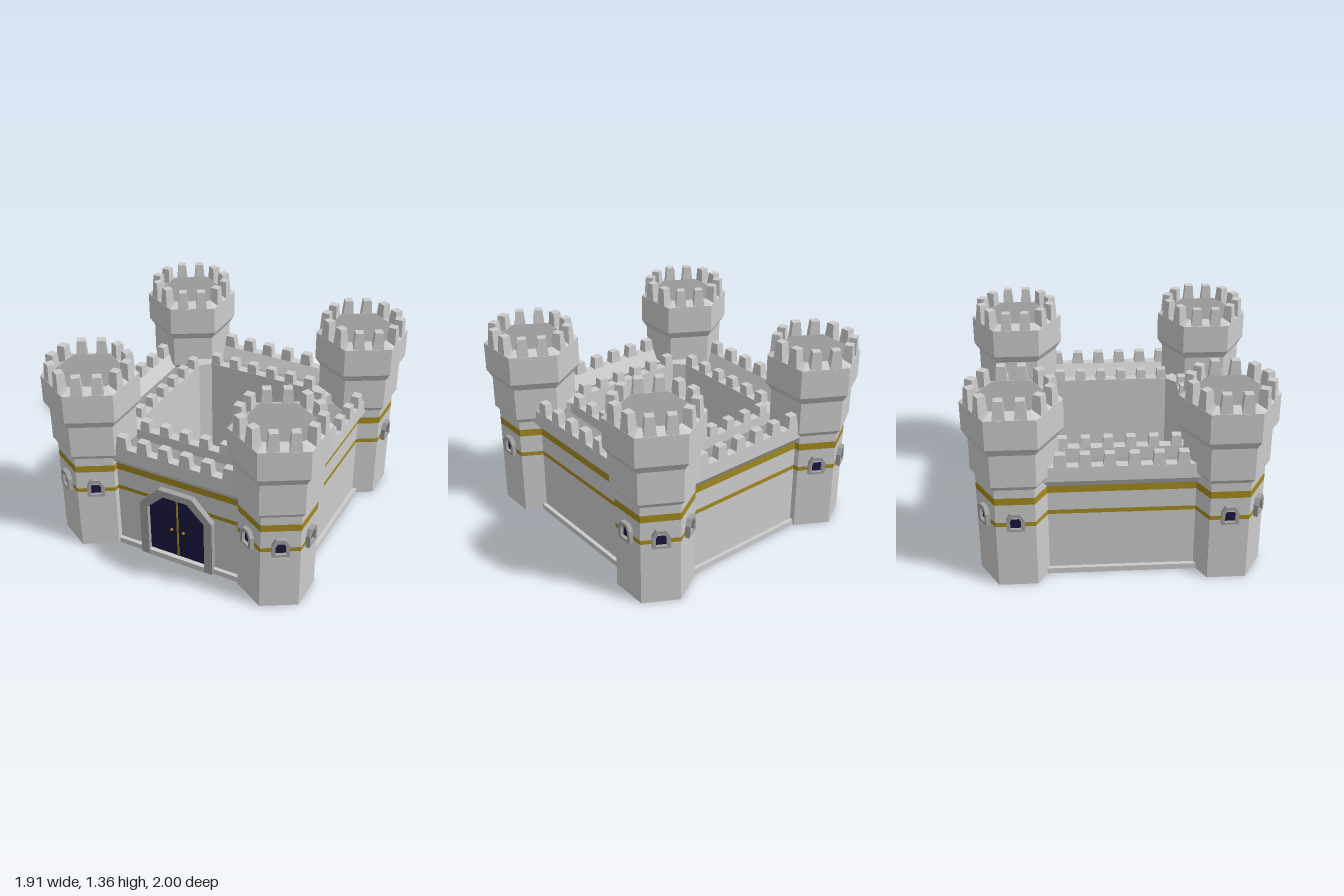
import * as THREE from 'three';

const mat = (color) => new THREE.MeshStandardMaterial({ color, flatShading: true });
const STONE = mat(0xcccccc), PALE = mat(0xf8f8f8), FLOOR = mat(0x999999), TRIM = mat(0xa2a2a2);
const GOLD = mat(0xa48a1e), NAVY = mat(0x1c1740);

function add(parent, name, geometry, material, x = 0, y = 0, z = 0) {
  const mesh = new THREE.Mesh(geometry, material);
  mesh.name = name;
  mesh.position.set(x, y, z);
  parent.add(mesh);
  return mesh;
}

const shapeOf = (pts) => new THREE.Shape(pts.map(([x, y]) => new THREE.Vector2(x, y)));
const extrude = (shape, depth) => new THREE.ExtrudeGeometry(shape, { depth, bevelEnabled: false });

// Box standing on y = 0 whose top is scaled down
function taperedBox(w, h, d, topW, topD) {
  const g = new THREE.BoxGeometry(w, h, d).translate(0, h / 2, 0);
  const p = g.attributes.position;
  for (let i = 0; i < p.count; i++) {
    if (p.getY(i) > h / 2) p.setXYZ(i, p.getX(i) * topW / w, h, p.getZ(i) * topD / d);
  }
  return g;
}

// Frame with an opening, both given as outlines, extruded towards +z
function frame(outer, inner, depth) {
  const s = shapeOf(outer);
  s.holes.push(shapeOf(inner));
  return extrude(s, depth);
}

// Pointed-arch outline: straight sides up to the shoulder, then sloped to a flat top
const archOutline = (w, y0, shoulder, topW, top) =>
  [[-w, y0], [w, y0], [w, shoulder], [topW, top], [-topW, top], [-w, shoulder]];

// Shared colour courses: [bottom, top, material]
const COURSES = [
  [0.04, 0.45, STONE, 'masonry'], [0.45, 0.48, GOLD, 'lowerStripe'],
  [0.48, 0.61, PALE, 'paleBand'], [0.61, 0.66, GOLD, 'upperStripe'],
];

function createWindow() {
  const g = new THREE.Group();
  g.name = 'window';
  add(g, 'windowFrame', frame(archOutline(0.057, 0.43, 0.515, 0.03, 0.558),
    archOutline(0.034, 0.445, 0.505, 0.019, 0.535), 0.034), TRIM, 0, 0, -0.004);
  add(g, 'windowPane', new THREE.BoxGeometry(0.07, 0.062, 0.008), NAVY, 0, 0.474, 0.003);
  return g;
}

function createTower(sx, sz) {
  const tower = new THREE.Group();
  tower.name = 'tower';
  tower.position.set(0.68 * sx, 0, 0.68 * sz);
  // Hexagonal shaft rings
  const ring = (name, r0, y0, r1, y1, m) => add(tower, name,
    new THREE.CylinderGeometry(r1, r0, y1 - y0, 6, 1, true), m, 0, (y0 + y1) / 2);
  ring('towerBase', 0.254, 0, 0.254, 0.04, PALE);
  for (const [y0, y1, m, name] of COURSES) ring(name, 0.254, y0, 0.254, y1, m);
  const upper = [[0.254, 0.66], [0.254, 0.72], [0.283, 0.755], [0.283, 0.98],
    [0.32, 1.035], [0.32, 1.235], [0.24, 1.265]];
  for (let i = 1; i < upper.length; i++) ring('towerHead', ...upper[i - 1], ...upper[i], STONE);
  const disc = (r) => new THREE.CircleGeometry(r, 6, Math.PI / 6);
  add(tower, 'towerFloor', disc(0.24).rotateX(-Math.PI / 2), FLOOR, 0, 1.265, 0);
  add(tower, 'towerUnderside', disc(0.254).rotateX(Math.PI / 2), STONE);
  // Two battlements on each of the six sides
  for (let side = 0; side < 6; side++) {
    const pivot = new THREE.Group();
    pivot.name = 'towerBattlements';
    pivot.rotation.y = Math.PI / 6 + side * Math.PI / 3;
    for (const s of [-1, 1]) {
      add(pivot, 'battlement', taperedBox(0.078, 0.125, 0.066, 0.056, 0.055), STONE, s * 0.066, 1.235, 0.243);
    }
    tower.add(pivot);
  }
  // Windows on the three outward faces
  const a = 0.254 * Math.cos(Math.PI / 6);
  for (const [nx, nz] of [[sx, 0], [0.5, 0.866 * sz], [-0.5, 0.866 * sz]]) {
    const w = createWindow();
    w.position.set(nx * a, 0, nz * a);
    w.rotation.y = Math.atan2(nx, nz);
    tower.add(w);
  }
  return tower;
}

// One curtain wall on the +z side
function createWall() {
  const wall = new THREE.Group();
  wall.name = 'wall';
  const block = (name, x, y0, y1, z0, z1, m) => add(wall, name,
    new THREE.BoxGeometry(2 * x, y1 - y0, z1 - z0), m, 0, (y0 + y1) / 2, (z0 + z1) / 2);
  block('wallBase', 0.6, 0, 0.04, 0.475, 0.795, PALE);
  for (const [y0, y1, m, name] of COURSES) {
    block(name, 0.6, y0, y1, 0.5, 0.768, m);
  }
  block('innerWall', 0.54, 0.04, 0.8, 0.475, 0.54, STONE);
  // Overhanging walkway and outer parapet, as a profile in (z, y)
  const profile = [[0.5, 0.66], [0.768, 0.66], [0.81, 0.715], [0.806, 0.815],
    [0.745, 0.815], [0.69, 0.72], [0.5, 0.72]];
  add(wall, 'parapet', extrude(shapeOf(profile), 1.2).rotateY(-Math.PI / 2), STONE, 0.6);
  block('walkway', 0.6, 0.715, 0.723, 0.53, 0.692, FLOOR);
  // Outer and inner battlements
  for (let i = 0; i < 6; i++) {
    const k = i - 2.5;
    add(wall, 'outerBattlement', taperedBox(0.082, 0.085, 0.061, 0.064, 0.054), STONE, k * 0.156, 0.815, 0.775);
    add(wall, 'innerBattlement', taperedBox(0.072, 0.07, 0.062, 0.06, 0.055), STONE, k * 0.149, 0.8, 0.508);
  }
  return wall;
}

function createGate() {
  const gate = new THREE.Group();
  gate.name = 'gate';
  const opening = archOutline(0.212, 0.04, 0.405, 0.088, 0.525);
  add(gate, 'gateFrame', frame(archOutline(0.272, 0.0, 0.42, 0.125, 0.575), opening, 0.055), TRIM, 0, 0, 0.755);
  add(gate, 'doors', extrude(shapeOf(opening), 0.025), NAVY, 0, 0, 0.755);
  add(gate, 'doorstep', new THREE.BoxGeometry(0.424, 0.042, 0.05), PALE, 0, 0.021, 0.787);
  add(gate, 'doorSeam', new THREE.BoxGeometry(0.012, 0.485, 0.01), GOLD, 0, 0.2825, 0.78);
  for (const s of [-1, 1]) {
    add(gate, 'doorKnob', new THREE.SphereGeometry(0.011, 8, 6), GOLD, s * 0.045, 0.255, 0.786);
  }
  return gate;
}

export function createModel() {
  const castle = new THREE.Group();
  castle.name = 'castle';
  for (let i = 0; i < 4; i++) {
    const wall = createWall();
    wall.rotation.y = i * Math.PI / 2;
    castle.add(wall);
  }
  for (const sx of [-1, 1]) {
    for (const sz of [-1, 1]) {
      castle.add(createTower(sx, sz));
      // Chamfered courtyard corner
      const corner = add(castle, 'courtyardCorner', new THREE.BoxGeometry(0.14, 0.76, 0.14), STONE,
        sx * 0.49, 0.42, sz * 0.49);
      corner.rotation.y = Math.PI / 4;
    }
  }
  add(castle, 'courtyard', new THREE.BoxGeometry(0.97, 0.05, 0.97), STONE, 0, 0.025, 0);
  castle.add(createGate());
  return castle;
}
